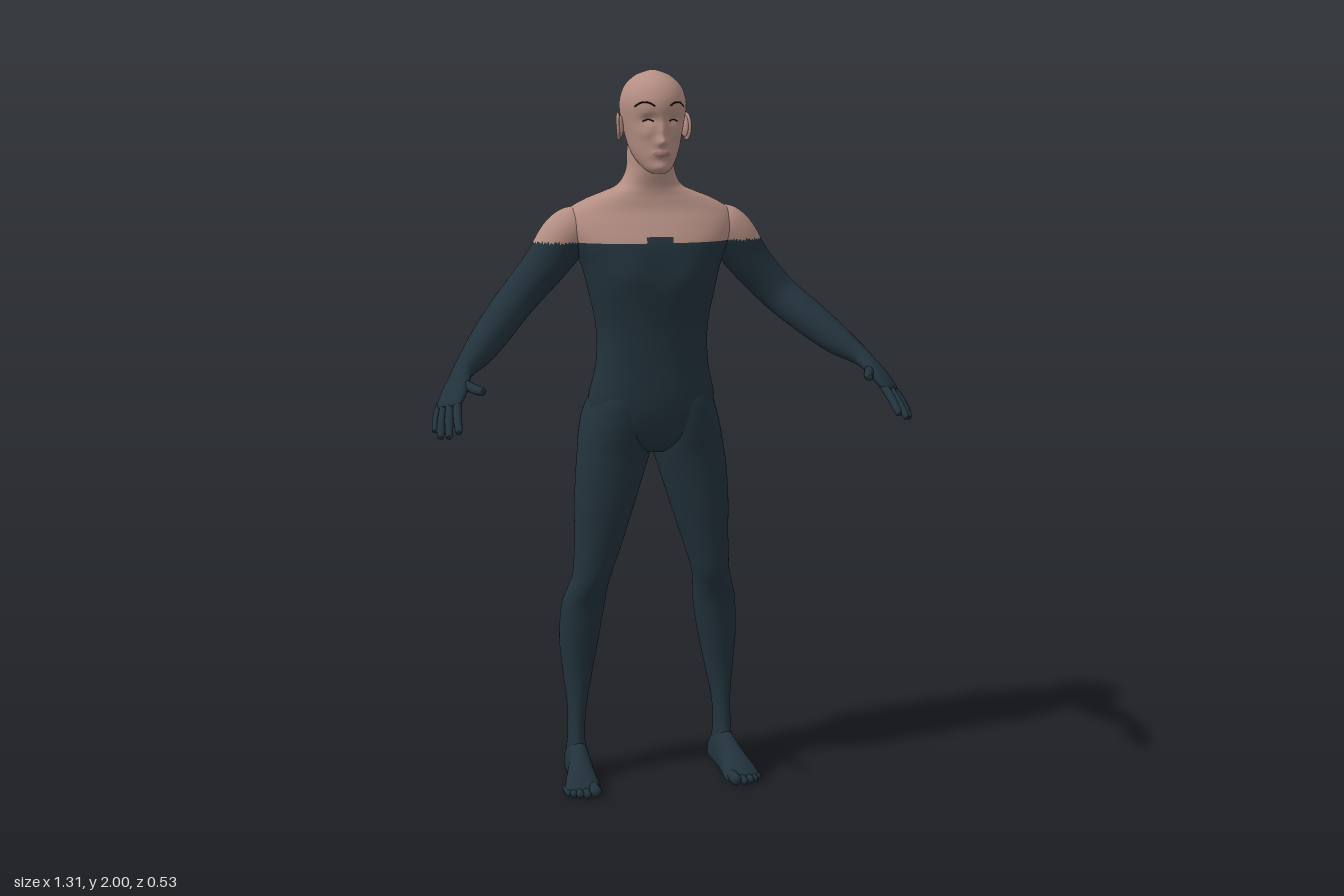
import * as THREE from 'three';

const skin = new THREE.MeshStandardMaterial({ color: 0xb58f84 }); skin.name = 'skin';
const suit = new THREE.MeshStandardMaterial({ color: 0x22323c }); suit.name = 'dark suit';
const hair = new THREE.MeshStandardMaterial({ color: 0x15110f }); hair.name = 'brow hair';
const lips = new THREE.MeshStandardMaterial({ color: 0xa0746b }); lips.name = 'lips';

// Smooth blend through a list of rows at parameter t (0..1)
function rowAt(rows, t) {
  const n = rows.length, s = THREE.MathUtils.clamp(t, 0, 1) * (n - 1);
  const i = Math.min(Math.floor(s), n - 2), f = s - i;
  const [a, b, c, d] = [rows[Math.max(i - 1, 0)], rows[i], rows[i + 1], rows[Math.min(i + 2, n - 1)]];
  return b.map((v, k) => v + 0.5 * f * (c[k] - a[k] + f * (2 * a[k] - 5 * v + 4 * c[k] - d[k]
    + f * (3 * (v - c[k]) + d[k] - a[k]))));
}

// Closed skin over rings; point(t, angle) gives [x, y, z], pick sorts faces into materials
function loft(name, point, steps, segs, mats, { flip = false, pick = () => 0 } = {}) {
  const pos = [], lists = mats.map(() => []);
  for (let i = 0; i <= steps; i++)
    for (let j = 0; j < segs; j++) pos.push(...point(i / steps, j / segs * Math.PI * 2));
  const pole = (i) => {
    const c = [0, 0, 0];
    for (let j = 0; j < segs * 3; j++) c[j % 3] += pos[i * segs * 3 + j] / segs;
    pos.push(...c);
    return pos.length / 3 - 1;
  };
  const low = pole(0), high = pole(steps);
  const tri = (a, b, c) => {
    const mid = [0, 1, 2].map((k) => (pos[a * 3 + k] + pos[b * 3 + k] + pos[c * 3 + k]) / 3);
    lists[pick(...mid)].push(...(flip ? [a, c, b] : [a, b, c]));
  };
  for (let j = 0; j < segs; j++) {
    const k = (j + 1) % segs;
    tri(low, j, k);
    tri(high, steps * segs + k, steps * segs + j);
    for (let i = 0; i < steps; i++) {
      const p = i * segs + j, q = i * segs + k;
      tri(p, p + segs, q);
      tri(q, p + segs, q + segs);
    }
  }
  const g = new THREE.BufferGeometry();
  g.setAttribute('position', new THREE.Float32BufferAttribute(pos, 3));
  g.setIndex(lists.flat());
  let start = 0;
  lists.forEach((l, m) => { if (l.length) g.addGroup(start, l.length, m); start += l.length; });
  g.computeVertexNormals();
  const mesh = new THREE.Mesh(g, mats.length > 1 ? mats : mats[0]);
  mesh.name = name;
  return mesh;
}

// Rounded ring direction, squarer for higher e
const sup = (v, e) => Math.sign(v) * Math.abs(v) ** (2 / e);
// Level rings from rows of [y, xMin, xMax, zFront, zBack]
const level = (rows, e, s = 1) => (t, a) => {
  const [y, x0, x1, zf, zb] = rowAt(rows, t);
  return [s * ((x0 + x1) / 2 + (x1 - x0) / 2 * sup(Math.cos(a), e)), y,
    (zf + zb) / 2 + (zf - zb) / 2 * sup(Math.sin(a), e)];
};
// Rings square to a path with rows of [x, y, z, halfWidth, halfThickness]
const spread = new THREE.Vector3(0.75, -0.26, -0.6);
const along = (rows, s) => (t, a) => {
  const [x, y, z, w, h] = rowAt(rows, t), p = rowAt(rows, t - 0.01), q = rowAt(rows, t + 0.01);
  const dir = new THREE.Vector3(q[0] - p[0], q[1] - p[1], q[2] - p[2]).normalize();
  const u = spread.clone().addScaledVector(dir, -spread.dot(dir)).normalize();
  const v = u.clone().cross(dir);
  const r = new THREE.Vector3(x, y, z).addScaledVector(u, w * Math.cos(a)).addScaledVector(v, h * Math.sin(a));
  return [s * r.x, r.y, r.z];
};
const bell = (x, y, x0, y0, sx, sy) => Math.exp(-(((x - x0) / sx) ** 2) - ((y - y0) / sy) ** 2);

// Upper edge of the suit: higher at the back, with a small tab on the chest
const hem = (x, y, z) => {
  const tab = z > -0.1 && Math.abs(x) < 0.036 ? 0.016 : 0;
  return y < 1.535 + tab + 0.25 * Math.max(0, -0.15 - z) ? 0 : 1;
};

const torsoRows = [
  [0.95, 0.05, -0.06, -0.16], [0.98, 0.12, -0.03, -0.2], [1.03, 0.172, -0.012, -0.222], [1.1, 0.178, -0.003, -0.228],
  [1.2, 0.158, -0.003, -0.212], [1.3, 0.157, 0, -0.222], [1.4, 0.177, 0.01, -0.238], [1.47, 0.195, 0.006, -0.245],
  [1.53, 0.218, -0.004, -0.249], [1.58, 0.238, -0.03, -0.25], [1.62, 0.228, -0.054, -0.242], [1.65, 0.18, -0.064, -0.23],
  [1.67, 0.13, -0.068, -0.217], [1.69, 0.088, -0.068, -0.205], [1.73, 0.067, -0.063, -0.192], [1.78, 0.064, -0.062, -0.19],
  [1.83, 0.058, -0.07, -0.18]].map(([y, w, f, b]) => [y, -w, w, f, b]);

const legRows = [
  [0.005, 0.192, 0.242, -0.1, -0.195], [0.03, 0.188, 0.247, -0.085, -0.205], [0.07, 0.19, 0.245, -0.08, -0.2],
  [0.12, 0.194, 0.241, -0.093, -0.19], [0.2, 0.188, 0.241, -0.102, -0.19], [0.3, 0.168, 0.251, -0.107, -0.203],
  [0.4, 0.148, 0.26, -0.1, -0.216], [0.5, 0.132, 0.254, -0.087, -0.214], [0.55, 0.128, 0.24, -0.068, -0.2],
  [0.6, 0.118, 0.227, -0.05, -0.187], [0.7, 0.085, 0.222, -0.04, -0.185], [0.8, 0.052, 0.222, -0.033, -0.195],
  [0.9, 0.02, 0.216, -0.03, -0.204], [0.95, 0.004, 0.21, -0.027, -0.222], [1, 0, 0.203, -0.02, -0.252],
  [1.05, 0, 0.192, -0.016, -0.266], [1.11, 0.01, 0.17, -0.02, -0.245], [1.17, 0.05, 0.14, -0.06, -0.2]];

const armRows = [
  [0.17, 1.585, -0.15, 0.03, 0.03], [0.2, 1.575, -0.15, 0.06, 0.062], [0.24, 1.543, -0.15, 0.068, 0.068],
  [0.29, 1.475, -0.15, 0.062, 0.06], [0.345, 1.412, -0.145, 0.056, 0.055], [0.39, 1.365, -0.125, 0.053, 0.052],
  [0.44, 1.318, -0.07, 0.05, 0.05], [0.5, 1.262, 0, 0.042, 0.042], [0.55, 1.222, 0.06, 0.031, 0.027],
  [0.565, 1.205, 0.085, 0.031, 0.022], [0.585, 1.175, 0.125, 0.04, 0.02], [0.605, 1.145, 0.155, 0.039, 0.015],
  [0.612, 1.135, 0.165, 0.028, 0.008]];

const headRows = [
  [1.724, 0.02, -0.004, -0.06], [1.735, 0.036, 0.006, -0.09], [1.76, 0.054, 0.01, -0.14], [1.79, 0.067, 0.011, -0.175],
  [1.82, 0.075, 0.011, -0.193], [1.86, 0.084, 0.012, -0.208], [1.9, 0.09, 0.017, -0.214], [1.93, 0.087, 0.011, -0.208],
  [1.96, 0.074, -0.008, -0.192], [1.985, 0.047, -0.042, -0.16], [1.997, 0.018, -0.075, -0.122],
  [2, 0.004, -0.094, -0.104]].map(([y, w, f, b]) => [y, -w, w, f, b]);

// Raised nose, lips, chin and cheeks, and hollow eye sockets
const relief = (x, y) => 0.017 * bell(x, y, 0, 1.808, 0.014, 0.012) + 0.011 * bell(x, y, 0, 1.835, 0.01, 0.025)
  + 0.008 * bell(x, y, 0, 1.776, 0.024, 0.01) + 0.006 * bell(x, y, 0, 1.74, 0.025, 0.012)
  - 0.01 * bell(Math.abs(x), y, 0.034, 1.868, 0.018, 0.013) + 0.004 * bell(Math.abs(x), y, 0.045, 1.83, 0.018, 0.015);

const headRing = level(headRows, 2);
const headPoint = (t, a) => {
  const [x, y, z] = headRing(t, a);
  return [x, y, z + (Math.sin(a) > 0 ? relief(x, y) * Math.min(1, Math.sin(a) * 2) : 0)];
};
// Point on the face at a given x and y
function onFace(x, y) {
  let lo = 0, hi = 1;
  for (let i = 0; i < 30; i++) {
    const m = (lo + hi) / 2;
    if (rowAt(headRows, m)[0] < y) lo = m; else hi = m;
  }
  const p = headPoint(lo, Math.acos(x / rowAt(headRows, lo)[2]));
  return new THREE.Vector3(x, y, p[2] + 0.0005);
}

export function createModel() {
  const model = new THREE.Group();
  model.name = 'standingFigure';
  const add = (geometry, material, name, parent = model) => {
    const m = new THREE.Mesh(geometry, material);
    m.name = name;
    parent.add(m);
    return m;
  };

  // Torso and neck, with a spine furrow and soft chest
  const ring = level(torsoRows, 2.25);
  model.add(loft('torso', (t, a) => {
    const [x, y, z] = ring(t, a);
    const back = Math.max(0, -Math.sin(a)), front = Math.max(0, Math.sin(a));
    return [x, y, z + 0.02 * back * bell(x, y, 0, 1.32, 0.04, 0.25)
      + 0.01 * front * bell(Math.abs(x), y, 0.09, 1.45, 0.06, 0.05)];
  }, 150, 96, [suit, skin], { pick: hem }));

  // Head
  model.add(loft('head', headPoint, 110, 112, [skin, lips], {
    pick: (x, y, z) => (z > -0.02 && (x / 0.025) ** 2 + ((y - 1.776) / 0.009) ** 2 < 1 ? 1 : 0),
  }));

  for (const s of [1, -1]) {
    const side = s > 0 ? 'left' : 'right', opt = { flip: s < 0 };

    // Ear: shell and rim
    const ear = new THREE.Group();
    ear.name = side + 'Ear';
    ear.position.set(s * 0.09, 1.848, -0.097);
    ear.rotation.set(-0.15, s * 0.3, 0);
    add(new THREE.SphereGeometry(1, 20, 14), skin, 'earShell', ear).scale.set(0.008, 0.03, 0.017);
    const rim = add(new THREE.TorusGeometry(0.018, 0.0045, 8, 28), skin, 'earRim', ear);
    rim.rotation.y = Math.PI / 2;
    rim.scale.y = 1.7;
    rim.position.x = s * 0.006;
    model.add(ear);

    // Brow and lash line
    const line = (pts, r, name) => add(new THREE.TubeGeometry(
      new THREE.CatmullRomCurve3(pts.map(([x, y]) => onFace(s * x, y))), 20, r, 6), hair, name);
    line([[0.02, 1.903], [0.035, 1.912], [0.052, 1.913], [0.068, 1.902]], 0.0022, side + 'Brow');
    line([[0.021, 1.863], [0.034, 1.868], [0.049, 1.863]], 0.0016, side + 'Lashes');

    // Arm and palm
    model.add(loft(side + 'Arm', along(armRows, s), 130, 48, [suit, skin], { ...opt, pick: hem }));

    // Fingers and thumb: base, middle joint, tip, radius
    [[[0.583, 1.155, 0.155], [0.592, 1.122, 0.21], [0.596, 1.09, 0.257], 0.0115],
      [[0.602, 1.147, 0.15], [0.613, 1.112, 0.203], [0.62, 1.078, 0.25], 0.0115],
      [[0.616, 1.14, 0.14], [0.63, 1.107, 0.184], [0.638, 1.073, 0.224], 0.011],
      [[0.627, 1.137, 0.125], [0.641, 1.11, 0.158], [0.648, 1.083, 0.19], 0.0095],
      [[0.568, 1.193, 0.105], [0.541, 1.183, 0.165], [0.527, 1.183, 0.213], 0.013],
    ].forEach(([a, b, c, r], i) => {
      const end = c.map((v, k) => v + (c[k] - b[k]) * 0.12);
      const rows = [[...a, r, r], [...b, r, r], [...c, r * 0.8, r * 0.8], [...end, r * 0.3, r * 0.3]];
      model.add(loft(side + (i < 4 ? 'Finger' + (i + 1) : 'Thumb'), along(rows, s), 18, 14, [suit], opt));
    });

    // Leg with buttock
    model.add(loft(side + 'Leg', level(legRows, 2.1, s), 130, 56, [suit], opt));

    // Foot: rows of [z, centre x, half width, height], flat underneath
    const footRows = [[-0.205, 0.215, 0.015, 0.04], [-0.19, 0.216, 0.029, 0.075], [-0.14, 0.217, 0.033, 0.11],
      [-0.085, 0.219, 0.034, 0.105], [-0.035, 0.226, 0.042, 0.075], [0.01, 0.231, 0.05, 0.048],
      [0.035, 0.233, 0.048, 0.03], [0.048, 0.232, 0.038, 0.018]];
    model.add(loft(side + 'Foot', (t, a) => {
      const [z, x, w, h] = rowAt(footRows, t);
      const up = Math.sin(a);
      return [s * (x - w * sup(Math.cos(a), up < 0 ? 3.5 : 2)), h * (up < 0 ? 0.3 + 0.3 * sup(up, 3.5) : 0.3 + 0.7 * up), z];
    }, 50, 40, [suit], { flip: s > 0 === false }));

    // Toes
    [[0.203, 0.064, 0.016], [0.228, 0.066, 0.011], [0.247, 0.06, 0.011], [0.263, 0.05, 0.01], [0.276, 0.037, 0.0095]]
      .forEach(([x, z, r], i) => {
        const toe = add(new THREE.CapsuleGeometry(r, 0.04, 6, 12), suit, side + 'Toe' + (i + 1));
        toe.rotation.x = Math.PI / 2;
        toe.position.set(s * x, r, z - 0.02);
      });
  }
  return model;
}
